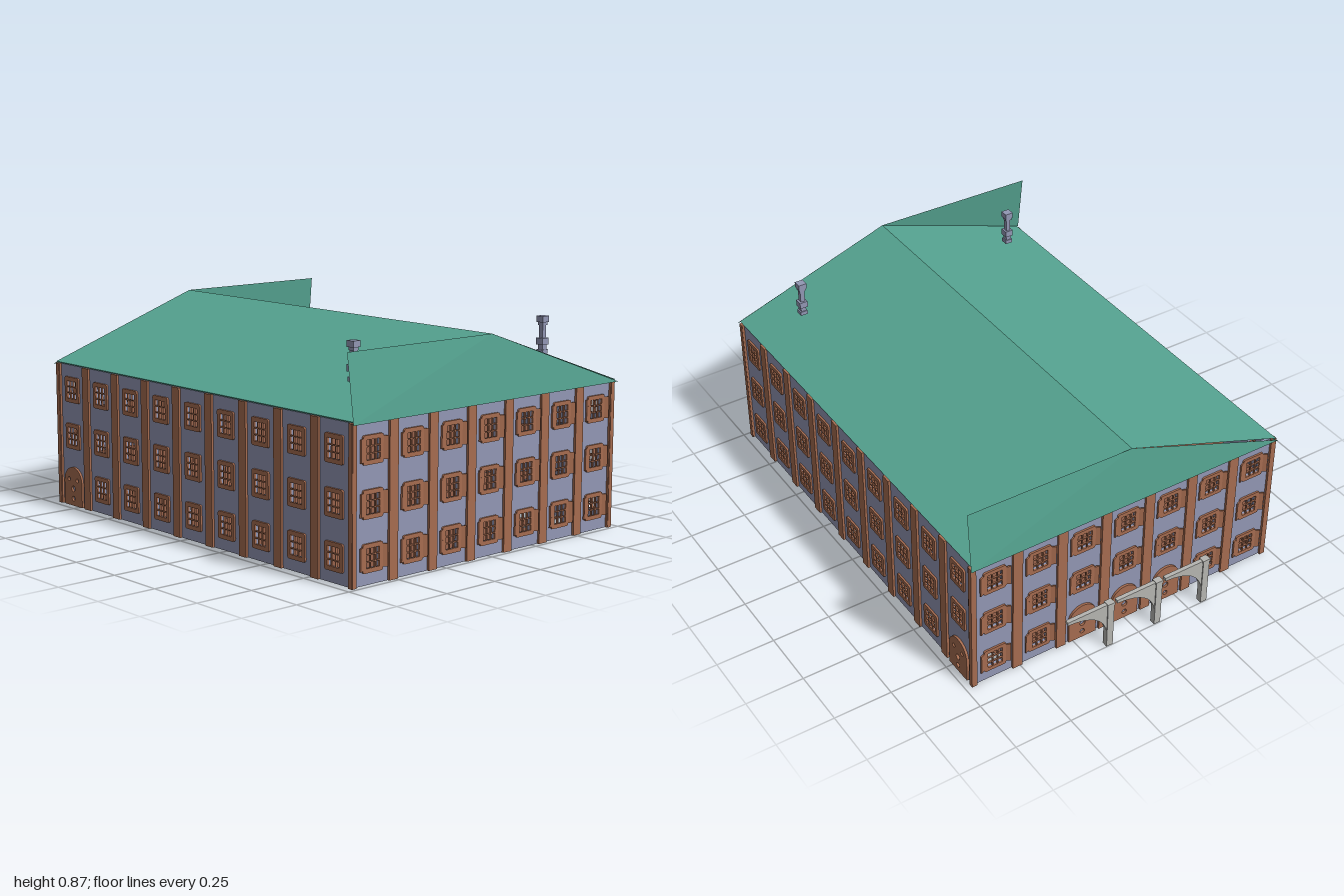
import * as THREE from 'three';

const mat = (name, color, side = THREE.FrontSide) => {
  const m = new THREE.MeshStandardMaterial({ color, side });
  m.name = name;
  return m;
};

export function createModel() {
  const plaster = mat('lavender plaster', 0x9297b4);
  const brown = mat('terracotta brown', 0xa66c50);
  const green = mat('copper green', 0x56a592, THREE.DoubleSide);
  const stone = mat('pale stone', 0xb6b6b2);
  const floorBrown = mat('floor brown', 0x8a5a45, THREE.DoubleSide);

  const model = new THREE.Group();
  model.name = 'building';
  const add = (parent, name, geo, material, x = 0, y = 0, z = 0) => {
    const m = new THREE.Mesh(geo, material);
    m.name = name;
    m.position.set(x, y, z);
    parent.add(m);
    return m;
  };
  const box = (w, h, d) => new THREE.BoxGeometry(w, h, d);
  const extrude = (shape, depth) =>
    new THREE.ExtrudeGeometry(shape, { depth, bevelEnabled: false, curveSegments: 8 });
  const rect = (Type, x, y, w, h) => {
    const p = new Type();
    p.moveTo(x - w / 2, y - h / 2);
    p.lineTo(x + w / 2, y - h / 2);
    p.lineTo(x + w / 2, y + h / 2);
    p.lineTo(x - w / 2, y + h / 2);
    p.closePath();
    return p;
  };

  const ROWS = [0.102, 0.304, 0.506];
  const WALL_H = 0.612;
  const OPEN_W = 0.07, OPEN_H = 0.08;

  // Window frame: a rounded plate with a three by three grid of panes
  const frame = new THREE.Shape();
  const fw = 0.05, fh = 0.055, r = 0.01;
  frame.moveTo(-fw + r, -fh);
  frame.lineTo(fw - r, -fh);
  frame.quadraticCurveTo(fw, -fh, fw, -fh + r);
  frame.lineTo(fw, fh - r);
  frame.quadraticCurveTo(fw, fh, fw - r, fh);
  frame.lineTo(-fw + r, fh);
  frame.quadraticCurveTo(-fw, fh, -fw, fh - r);
  frame.lineTo(-fw, -fh + r);
  frame.quadraticCurveTo(-fw, -fh, -fw + r, -fh);
  for (let i = -1; i <= 1; i++)
    for (let j = -1; j <= 1; j++)
      frame.holes.push(rect(THREE.Path, i * OPEN_W / 3, j * OPEN_H / 3, 0.0192, 0.0222));
  const frameGeo = extrude(frame, 0.008);
  const shutterGeo = box(0.022, 0.088, 0.006);

  // Arched door with small round recesses
  const door = new THREE.Shape();
  door.moveTo(-0.065, 0.001);
  door.lineTo(0.065, 0.001);
  door.lineTo(0.065, 0.105);
  door.absarc(0, 0.105, 0.065, 0, Math.PI, false);
  door.closePath();
  for (const [x, y, rad] of [[0, 0.032, 0.011], [0, 0.075, 0.013], [-0.03, 0.115, 0.009], [0.03, 0.115, 0.009]]) {
    const hole = new THREE.Path();
    hole.absarc(x, y, rad, 0, Math.PI * 2, true);
    door.holes.push(hole);
  }
  const doorGeo = extrude(door, 0.03);

  // One facade: local x along the wall, z pointing outwards
  function facade(name, length, count, pitch, doors, shutters) {
    const g = new THREE.Group();
    g.name = name;
    const wall = rect(THREE.Shape, 0, WALL_H / 2, length, WALL_H);
    const at = (i) => (i - (count - 1) / 2) * pitch;
    for (let c = 0; c < count; c++) {
      ROWS.forEach((y, row) => {
        if (row === 0 && doors.includes(c)) {
          add(g, 'door', doorGeo, brown, at(c), 0, -0.02);
          return;
        }
        wall.holes.push(rect(THREE.Path, at(c), y, OPEN_W, OPEN_H));
        add(g, 'windowFrame', frameGeo, brown, at(c), y, 0);
        if (shutters)
          for (const s of [-1, 1])
            add(g, 'shutter', shutterGeo, brown, at(c) + s * 0.059, y, 0.009).rotation.y = -s * 0.45;
      });
      if (c > 0) add(g, 'pilaster', box(0.044, WALL_H, 0.02), brown, at(c - 0.5), WALL_H / 2, 0);
    }
    for (const s of [-1, 1])
      add(g, 'cornerPilaster', box(0.024, WALL_H, 0.02), brown, s * (length / 2 - 0.001), WALL_H / 2, 0);
    add(g, 'wall', extrude(wall, 0.012), plaster, 0, 0, -0.012);
    model.add(g);
    return g;
  }
  facade('frontFacade', 1.424, 7, 0.205, [], true).position.z = 0.975;
  const back = facade('backFacade', 1.424, 7, 0.205, [2, 3, 4], true);
  back.position.z = -0.889;
  back.rotation.y = Math.PI;
  const left = facade('leftFacade', 1.864, 9, 0.209, [8], false);
  left.position.set(0.711, 0, 0.044);
  left.rotation.y = Math.PI / 2;
  const right = facade('rightFacade', 1.864, 9, 0.209, [0], false);
  right.position.set(-0.711, 0, 0.044);
  right.rotation.y = -Math.PI / 2;

  // Floors with a toothed, unfinished edge on the left side
  const floor = new THREE.Shape();
  floor.moveTo(-0.7, 0.88);
  floor.lineTo(-0.7, -0.962);
  floor.lineTo(0.42, -0.962);
  for (let i = 0; i < 9; i++) {
    const v = -0.962 + i * 0.2047;
    floor.lineTo(0.7, v + 0.02);
    floor.lineTo(0.42, v + 0.2);
  }
  floor.closePath();
  const floorGeo = new THREE.ShapeGeometry(floor);
  for (const y of [0.004, 0.203, 0.405])
    add(model, 'floor', floorGeo, floorBrown, 0, y, 0).rotation.x = -Math.PI / 2;

  // Interior posts and short partitions
  for (const s of [-1, 1]) {
    for (const z of [0.44, 0.235, -0.17, -0.4])
      add(model, 'interiorPost', box(0.026, 0.6, 0.026), plaster, s * 0.4, 0.304, z);
    add(model, 'partition', box(0.1, 0.39, 0.012), plaster, s * 0.205, 0.2, -0.27);
  }

  // Roof: two slopes, soffits, and end gables that each rise to a square corner
  const V = [
    [0, 0.87, 0.98], [0, 0.87, -0.895],
    [0.716, 0.618, 0.992], [0.716, 0.618, -0.9],
    [-0.716, 0.618, 0.99], [-0.716, 0.618, -0.905],
    [-0.73, 0.608, 1], [0.727, 0.608, 1], [-0.73, 0.87, 0.965],
    [0.727, 0.608, -0.91], [-0.727, 0.608, -0.91], [0.727, 0.87, -0.885],
    [0.7, 0.605, 0.99], [0.7, 0.605, -0.9],
    [-0.7, 0.605, 0.99], [-0.7, 0.605, -0.9],
  ];
  const roofPart = (name, faces) => {
    const g = new THREE.BufferGeometry();
    g.setAttribute('position', new THREE.Float32BufferAttribute(faces.flatMap((i) => V[i]), 3));
    g.computeVertexNormals();
    add(model, name, g, green);
  };
  roofPart('roofSlopeLeft', [0, 2, 3, 0, 3, 1]);
  roofPart('roofSlopeRight', [0, 1, 5, 0, 5, 4]);
  roofPart('soffitLeft', [2, 12, 13, 2, 13, 3]);
  roofPart('soffitRight', [4, 5, 15, 4, 15, 14]);
  roofPart('frontGable', [6, 7, 0, 6, 0, 8]);
  roofPart('backGable', [9, 10, 1, 9, 1, 11]);

  // Chimneys: stacked square blocks, [width, bottom, top]
  for (const s of [-1, 1]) {
    const g = new THREE.Group();
    g.name = 'chimney';
    for (const [w, y0, y1] of [[0.032, 0.718, 0.735], [0.024, 0.735, 0.755], [0.036, 0.755, 0.782],
      [0.02, 0.782, 0.835], [0.027, 0.835, 0.847], [0.036, 0.847, 0.872]])
      add(g, 'chimneyBlock', box(w, y1 - y0, w), plaster, 0, (y0 + y1) / 2, 0);
    g.position.set(s * 0.52, 0, 0.77);
    model.add(g);
  }

  // Free-standing half arches behind the back doors
  const arch = new THREE.Shape();
  arch.moveTo(0.028, 0.222);
  arch.lineTo(0.028, 0.07);
  arch.quadraticCurveTo(0.05, 0.2, 0.218, 0.207);
  arch.lineTo(0.218, 0.222);
  arch.closePath();
  const archGeo = extrude(arch, 0.018);
  for (const x of [-0.343, -0.109, 0.125]) {
    const g = new THREE.Group();
    g.name = 'archway';
    add(g, 'archPillar', box(0.03, 0.215, 0.026), stone, 0.016, 0.1075, 0);
    add(g, 'archCap', box(0.034, 0.012, 0.03), stone, 0.016, 0.219, 0);
    add(g, 'archSpan', archGeo, stone, 0, 0, -0.009);
    g.position.set(x, 0, -0.985);
    model.add(g);
  }
  return model;
}
